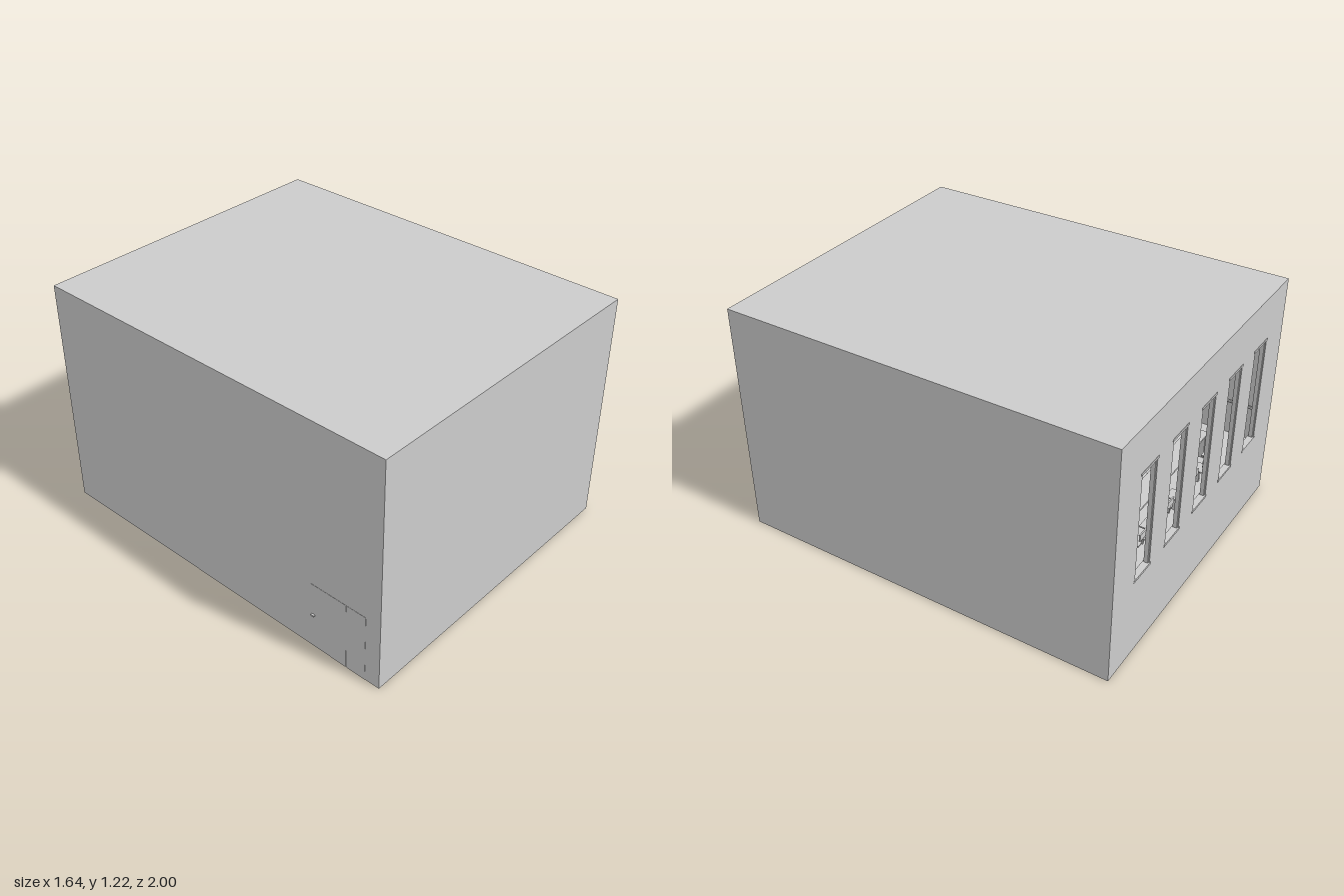
import * as THREE from 'three';

const grey = new THREE.MeshStandardMaterial({ color: 0xcccccc, flatShading: true });

// Box given by its min and max corners
function box(parent, name, x0, x1, y0, y1, z0, z1) {
  const mesh = new THREE.Mesh(new THREE.BoxGeometry(x1 - x0, y1 - y0, z1 - z0), grey);
  mesh.position.set((x0 + x1) / 2, (y0 + y1) / 2, (z0 + z1) / 2);
  mesh.name = name;
  parent.add(mesh);
  return mesh;
}

function rail(parent, name, a, b, radius) {
  const path = new THREE.LineCurve3(new THREE.Vector3(...a), new THREE.Vector3(...b));
  const mesh = new THREE.Mesh(new THREE.TubeGeometry(path, 1, radius, 8), grey);
  mesh.name = name;
  parent.add(mesh);
}

export function createModel() {
  const group = new THREE.Group();
  group.name = 'lectureHall';
  const L = -0.813, R = 0.822, H = 1.215, T = 0.02;

  // Shell: roof and three closed walls
  box(group, 'roof', L, R, H - T, H, -1, 1);
  box(group, 'frontWall', L, R, 0, H - T, 1 - T, 1);
  box(group, 'rightWall', L, L + T, 0, H - T, -1 + T, 1 - T);
  box(group, 'leftWall', R - T, R, 0, H - T, -1 + T, 1 - T);

  // Back wall with five tall windows
  const shape = new THREE.Shape([[L, 0], [R, 0], [R, H - T], [L, H - T]].map(p => new THREE.Vector2(...p)));
  const y0 = 0.42, y1 = 0.98, half = 0.066;
  const windows = [-2, -1, 0, 1, 2].map(i => 0.005 + i * 0.278);
  for (const x of windows) {
    shape.holes.push(new THREE.Path([[x - half, y0], [x - half, y1], [x + half, y1], [x + half, y0]]
      .map(p => new THREE.Vector2(...p))));
  }
  const back = new THREE.Mesh(new THREE.ExtrudeGeometry(shape, { depth: T, bevelEnabled: false }), grey);
  back.position.z = -1;
  back.name = 'backWall';
  group.add(back);

  // Window frames with sill and lintel
  for (const x of windows) {
    const frame = new THREE.Group();
    frame.name = 'windowFrame';
    group.add(frame);
    box(frame, 'sill', x - 0.075, x + 0.075, y0 - 0.006, y0 + 0.006, -1.002, -0.97);
    box(frame, 'lintel', x - 0.075, x + 0.075, y1 - 0.006, y1 + 0.006, -1.002, -0.97);
    for (const s of [-1, 1]) {
      const e = x + s * (half - 0.003);
      box(frame, 'jamb', e - 0.004, e + 0.004, y0, y1, -0.995, -0.975);
    }
  }

  // Seating tiers rising to the back, with desks and chairs
  const rows = 4, depth = 0.21, rise = 0.07, front = -0.07, deskHalf = 0.53;
  for (let k = 0; k < rows; k++) {
    const z = front - k * depth, y = rise * (k + 1);
    const zb = k === rows - 1 ? -1 + T : z - depth;
    box(group, 'tier', -deskHalf, deskHalf, 0, y, zb, z);
    box(group, 'deskTop', -deskHalf, deskHalf, y + 0.14, y + 0.15, z - 0.1, z);
    box(group, 'deskPanel', -deskHalf, deskHalf, y, y + 0.14, z - 0.012, z - 0.002);
    for (const s of [-1, 1]) {
      box(group, 'deskEnd', s * 0.52 - 0.006, s * 0.52 + 0.006, y, y + 0.14, z - 0.09, z - 0.012);
    }
    for (let i = 0; i < 8; i++) {
      const x = (i - 3.5) * 0.13;
      const chair = new THREE.Group();
      chair.name = 'chair';
      group.add(chair);
      box(chair, 'seat', x - 0.036, x + 0.036, y + 0.078, y + 0.085, z - 0.18, z - 0.115);
      box(chair, 'backrest', x - 0.036, x + 0.036, y + 0.115, y + 0.15, z - 0.187, z - 0.18);
      box(chair, 'backPost', x - 0.005, x + 0.005, y + 0.078, y + 0.13, z - 0.186, z - 0.178);
      box(chair, 'leg', x - 0.006, x + 0.006, y, y + 0.078, z - 0.155, z - 0.143);
    }
  }

  // Aisle stairs and handrails along both side walls
  for (const [a, b, wall] of [[L + T, -deskHalf, L + T + 0.02], [deskHalf, R - T, R - T - 0.02]]) {
    for (let i = 0; i < 8; i++) {
      const z = 0.16 - i * depth / 2;
      box(group, 'aisleStep', a, b, 0, 0.035 * (i + 1), i === 7 ? -1 + T : z - depth / 2, z);
    }
    rail(group, 'handrail', [wall, 0.2, 0.16], [wall, 0.48, -0.68], 0.008);
    rail(group, 'handrailEnd', [wall, 0.48, -0.68], [wall, 0.48, -0.96], 0.008);
  }

  // Writing board on the front wall with a ledge below
  box(group, 'board', -0.71, 0.61, 0.23, 0.46, 0.97, 0.98);
  box(group, 'boardLedge', -0.72, 0.62, 0.17, 0.18, 0.955, 0.98);

  // Door: wide leaf and narrow leaf, flush with both faces of the wall
  box(group, 'doorLeaf', L - 0.001, L + T + 0.002, 0, 0.362, 0.605, 0.812);
  box(group, 'narrowLeaf', L - 0.001, L + T + 0.002, 0, 0.362, 0.818, 0.92);
  for (const x of [L - 0.005, L + T + 0.006]) {
    box(group, 'doorHandle', x - 0.005, x + 0.005, 0.184, 0.192, 0.615, 0.632);
  }

  return group;
}
